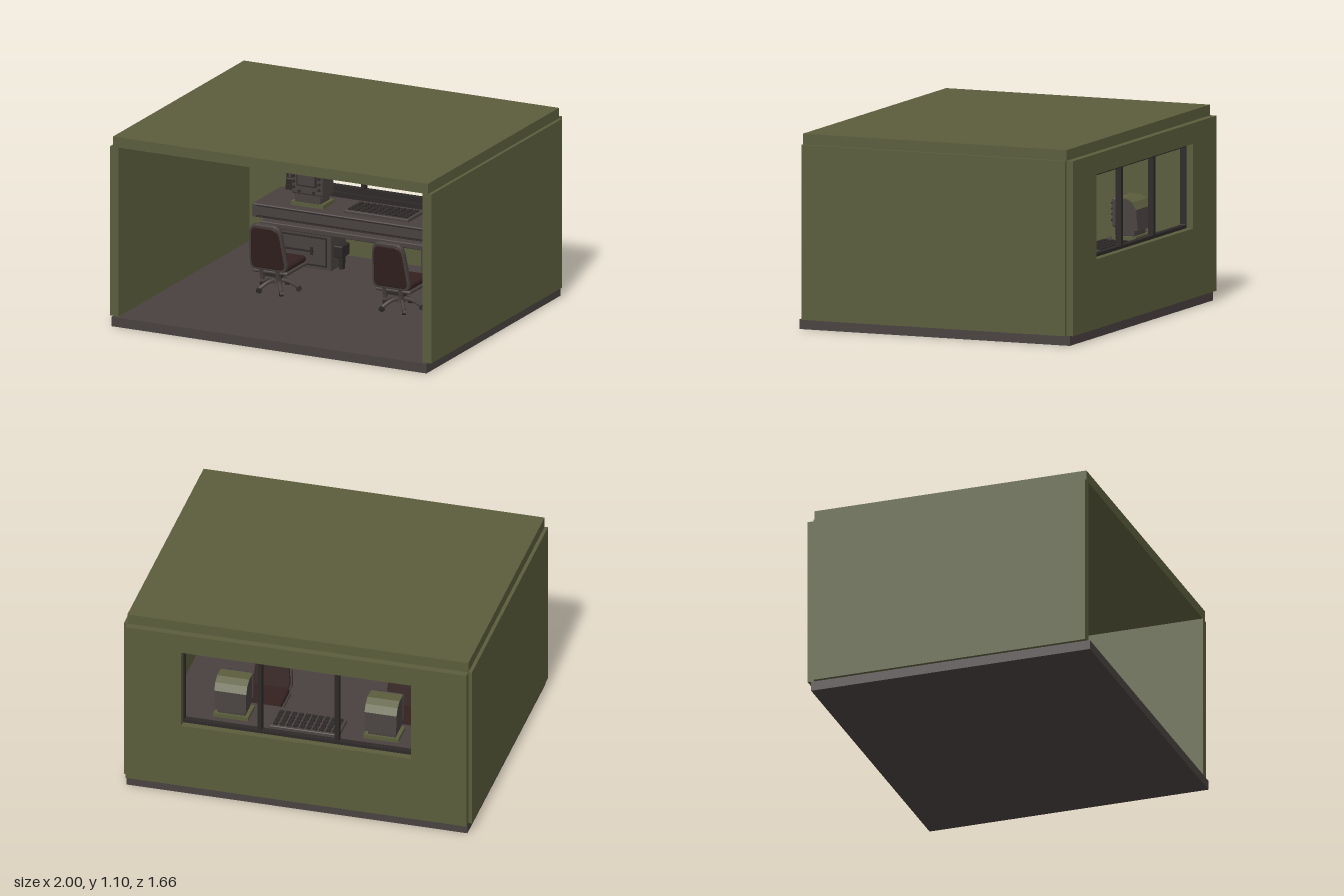
import * as THREE from 'three';
import { RoundedBoxGeometry } from 'three/addons/geometries/RoundedBoxGeometry.js';

const material = (name, color) => Object.assign(new THREE.MeshStandardMaterial({ color }), { name });
const olive = material('olive paint', 0x5a5d3c);
const grey = material('warm grey', 0x48413f);
const dark = material('dark metal', 0x2d2928);
const maroon = material('maroon upholstery', 0x33211f);

function add(parent, name, geometry, mat, x = 0, y = 0, z = 0) {
  const mesh = new THREE.Mesh(geometry, mat);
  mesh.name = name;
  mesh.position.set(x, y, z);
  parent.add(mesh);
  return mesh;
}

function group(parent, name, x = 0, y = 0, z = 0) {
  const g = new THREE.Group();
  g.name = name;
  g.position.set(x, y, z);
  parent.add(g);
  return g;
}

// Box given by its extents on each axis
function box(parent, name, mat, [x0, x1], [y0, y1], [z0, z1], radius = 0) {
  const size = [x1 - x0, y1 - y0, z1 - z0];
  const geometry = radius ? new RoundedBoxGeometry(...size, 2, radius) : new THREE.BoxGeometry(...size);
  return add(parent, name, geometry, mat, (x0 + x1) / 2, (y0 + y1) / 2, (z0 + z1) / 2);
}

// Profile of [z, y] points extruded along x, centred on x = 0
function sideExtrude(points, width) {
  const shape = new THREE.Shape(points.map(([z, y]) => new THREE.Vector2(-z, y)));
  const geometry = new THREE.ExtrudeGeometry(shape, { depth: width, bevelEnabled: false });
  return geometry.translate(0, 0, -width / 2).rotateY(Math.PI / 2);
}

// Rounded, slightly tapered cushion outline standing on y = 0
function cushion(bottom, top, height, depth) {
  const s = new THREE.Shape();
  s.moveTo(-bottom * 0.7, 0);
  s.lineTo(bottom * 0.7, 0);
  s.quadraticCurveTo(bottom, 0, bottom, height * 0.16);
  s.lineTo(top, height * 0.76);
  s.quadraticCurveTo(top * 0.95, height, top * 0.5, height);
  s.lineTo(-top * 0.5, height);
  s.quadraticCurveTo(-top * 0.95, height, -top, height * 0.76);
  s.lineTo(-bottom, height * 0.16);
  s.quadraticCurveTo(-bottom, 0, -bottom * 0.7, 0);
  const bevel = 0.006;
  return new THREE.ExtrudeGeometry(s, {
    depth: depth - 2 * bevel, bevelThickness: bevel, bevelSize: bevel, bevelOffset: -bevel,
    bevelSegments: 2, curveSegments: 6,
  }).translate(0, 0, bevel - depth / 2);
}

function buildShell(root) {
  const shell = group(root, 'cabinShell');
  box(shell, 'floor', grey, [-0.98, 0.98], [0, 0.055], [-0.81, 0.83]);
  box(shell, 'roof', olive, [-0.98, 0.98], [1.035, 1.095], [-0.79, 0.81]);
  for (const s of [-1, 1]) {
    const wall = s < 0 ? [-1, -0.945] : [0.945, 1];
    box(shell, 'sideWall', olive, wall, [0.055, 1.035], [-0.79, 0.81]);
    const panel = s < 0 ? [-0.98, -0.66] : [0.66, 0.98];
    box(shell, 'windowSidePanel', olive, panel, [0.445, 0.92], [-0.83, -0.79]);
  }
  box(shell, 'lowerBackPanel', olive, [-0.98, 0.98], [0.055, 0.445], [-0.83, -0.79]);
  box(shell, 'upperBackPanel', olive, [-0.98, 0.98], [0.92, 1.035], [-0.83, -0.79]);
}

function buildWindow(root) {
  const frame = group(root, 'windowFrame');
  const z = [-0.79, -0.755];
  for (const y of [0.447, 0.917]) {
    box(frame, 'frameRail', dark, [-0.69, 0.69], [y - 0.016, y + 0.016], z);
    for (const x of [-0.675, 0.675])
      box(frame, 'frameCorner', dark, [x - 0.026, x + 0.026], [y - 0.02, y + 0.02], [-0.79, -0.748], 0.008);
  }
  for (const x of [-0.675, 0.675]) {
    box(frame, 'framePost', dark, [x - 0.023, x + 0.023], [0.447, 0.917], z);
    box(frame, 'framePostTrim', grey, [x - 0.008, x + 0.008], [0.47, 0.895], [-0.757, -0.75]);
  }
  for (const x of [-0.223, 0.22])
    box(frame, 'mullion', dark, [x - 0.012, x + 0.012], [0.447, 0.917], z);
}

function buildDesk(root) {
  const desk = group(root, 'desk');
  box(desk, 'deskTop', grey, [-0.74, 0.74], [0.325, 0.405], [-0.77, -0.42], 0.008);
  box(desk, 'deskFrontTrim', dark, [-0.71, 0.71], [0.334, 0.34], [-0.425, -0.415]);
  box(desk, 'deskFrontTrim', dark, [-0.71, 0.71], [0.392, 0.398], [-0.425, -0.415]);
  box(desk, 'rearLedge', dark, [-0.69, 0.69], [0.4, 0.432], [-0.785, -0.73]);
  box(desk, 'deskRail', grey, [-0.72, 0.72], [0.257, 0.29], [-0.66, -0.47], 0.006);

  // Central keyboard with rows of keys
  box(desk, 'keyboard', grey, [-0.2, 0.2], [0.4, 0.422], [-0.66, -0.48], 0.005);
  for (let row = 0; row < 4; row++)
    for (let i = 0; i < 10; i++) {
      const x = -0.17 + i * 0.0378, z = -0.63 + row * 0.04;
      box(desk, 'key', dark, [x - 0.013, x + 0.013], [0.42, 0.43], [z - 0.013, z + 0.013]);
    }

  // Pedestal cabinets with framed doors
  for (const s of [-1, 1]) {
    const cabinet = group(desk, 'cabinet', s * 0.49, 0, 0);
    box(cabinet, 'cabinetBody', grey, [-0.21, 0.21], [0.055, 0.26], [-0.66, -0.48]);
    box(cabinet, 'deskSupport', dark, [-0.05, 0.05], [0.28, 0.33], [-0.66, -0.55]);
    for (const y of [0.077, 0.238])
      box(cabinet, 'doorBorder', dark, [-0.185, 0.185], [y - 0.004, y + 0.004], [-0.481, -0.475]);
    for (const x of [-0.181, 0.181])
      box(cabinet, 'doorBorder', dark, [x - 0.004, x + 0.004], [0.077, 0.238], [-0.481, -0.475]);
    box(cabinet, 'doorHandle', dark, [-0.1, 0.1], [0.152, 0.16], [-0.481, -0.468]);
    for (const x of [-0.09, 0.09])
      box(cabinet, 'doorLatch', dark, [x - 0.008, x + 0.008], [0.135, 0.18], [-0.481, -0.472]);
  }

  // Small control box beside one cabinet
  const control = group(desk, 'controlBox', -0.248, 0, -0.55);
  box(control, 'controlBody', dark, [-0.03, 0.025], [0.13, 0.2], [-0.05, 0.05], 0.008);
  box(control, 'controlPost', dark, [-0.012, 0.012], [0.055, 0.14], [-0.015, 0.015]);
}

function buildMonitor(root, x) {
  const monitor = group(root, 'monitor', x, 0, -0.55);
  const arch = [[0.05, 0.635], [-0.02, 0.635], [-0.055, 0.615], [-0.075, 0.58]];
  add(monitor, 'monitorBody', sideExtrude([...arch, [-0.085, 0.46], [0.05, 0.46]], 0.18), grey);
  // Thin painted hood following the top of the body
  const outer = arch.map(([z, y], i) => [z - [0, 0, 0.005, 0.008][i], y + [0.008, 0.008, 0.006, 0][i]]);
  add(monitor, 'monitorHood', sideExtrude([...outer, ...arch.slice().reverse()], 0.184), olive);
  box(monitor, 'monitorBezel', grey, [-0.097, 0.097], [0.475, 0.643], [0.045, 0.07], 0.012);
  box(monitor, 'screenSurround', dark, [-0.06, 0.06], [0.525, 0.625], [0.069, 0.074]);
  box(monitor, 'screen', grey, [-0.052, 0.052], [0.533, 0.617], [0.072, 0.077]);
  box(monitor, 'monitorFoot', grey, [-0.08, 0.08], [0.425, 0.48], [-0.06, 0.06], 0.006);
  box(monitor, 'monitorBase', olive, [-0.1, 0.1], [0.4, 0.428], [-0.075, 0.065]);
  const knob = new THREE.CylinderGeometry(0.008, 0.008, 0.012, 10).rotateX(Math.PI / 2);
  for (const s of [-1, 1]) {
    for (let i = 0; i < 4; i++) add(monitor, 'knob', knob, dark, s * 0.079, 0.515 + i * 0.032, 0.074);
    for (const y of [0.495, 0.628]) add(monitor, 'corner knob', knob, dark, s * 0.045, y, 0.072);
  }
}

function buildChair(root, x) {
  const chair = group(root, 'chair', x, 0.055, -0.03);
  // Five curved legs on casters
  for (let i = 0; i < 5; i++) {
    const leg = group(chair, 'chairLeg');
    leg.rotation.y = Math.PI / 2 + (i * Math.PI * 2) / 5;
    const path = new THREE.CatmullRomCurve3([[0, 0.065], [0.06, 0.055], [0.115, 0.025]]
      .map(([r, y]) => new THREE.Vector3(r, y, 0)));
    add(leg, 'legBar', new THREE.TubeGeometry(path, 6, 0.011, 6), grey);
    add(leg, 'caster', new THREE.CylinderGeometry(0.015, 0.015, 0.02, 10).rotateX(Math.PI / 2), dark, 0.118, 0.015, 0);
  }
  add(chair, 'chairColumn', new THREE.CylinderGeometry(0.02, 0.026, 0.09, 12), grey, 0, 0.085, 0);
  box(chair, 'seatMechanism', dark, [-0.06, 0.06], [0.1, 0.13], [-0.07, 0.08]);
  box(chair, 'seatPan', grey, [-0.11, 0.11], [0.12, 0.142], [-0.15, 0.1], 0.01);
  box(chair, 'seatCushion', maroon, [-0.105, 0.105], [0.138, 0.178], [-0.15, 0.09], 0.018);
  for (const s of [-1, 1]) {
    const strut = box(chair, 'backStrut', grey, [s * 0.05 - 0.01, s * 0.05 + 0.01], [0.085, 0.19], [0.09, 0.11]);
    strut.rotation.x = 0.25;
  }
  // Reclined backrest: rim with a pad on both faces
  const back = group(chair, 'backrest', 0, 0.145, 0.1);
  back.rotation.x = 0.2;
  add(back, 'backrestRim', cushion(0.114, 0.1, 0.285, 0.03), grey);
  add(back, 'rearPad', cushion(0.102, 0.089, 0.255, 0.016), maroon, 0, 0.016, 0.012);
  add(back, 'frontPad', cushion(0.105, 0.092, 0.265, 0.024), maroon, 0, 0.01, -0.018);
}

function buildOverheadUnit(root) {
  const unit = group(root, 'overheadUnit', -0.004, 0, -0.42);
  add(unit, 'unitHousing', sideExtrude([[-0.05, 1.0], [0.05, 1.0], [0.068, 0.985], [0.072, 0.935],
    [0.05, 0.875], [-0.055, 0.875], [-0.072, 0.93], [-0.068, 0.985]], 0.6), grey);
  for (const s of [-1, 1]) {
    box(unit, 'unitEndCap', dark, [s * 0.304 - 0.007, s * 0.304 + 0.007], [0.87, 0.99], [-0.066, 0.066], 0.006);
    box(unit, 'unitBracket', dark, [s * 0.22 - 0.032, s * 0.22 + 0.032], [0.995, 1.015], [-0.02, 0.03]);
    box(unit, 'ceilingMount', dark, [s * 0.22 - 0.012, s * 0.22 + 0.012], [1.01, 1.036], [-0.02, 0]);
  }
  box(unit, 'lowerGrille', dark, [-0.295, 0.295], [0.868, 0.93], [-0.04, 0.068]);
  for (let i = 0; i < 13; i++) {
    const x = -0.264 + i * 0.044;
    box(unit, 'grilleFin', grey, [x - 0.008, x + 0.008], [0.893, 0.922], [0.066, 0.073]);
  }
}

export function createModel() {
  const root = new THREE.Group();
  root.name = 'controlCabin';
  buildShell(root);
  buildWindow(root);
  buildDesk(root);
  for (const x of [-0.432, 0.432]) buildMonitor(root, x);
  for (const x of [-0.382, 0.382]) buildChair(root, x);
  buildOverheadUnit(root);
  return root;
}
